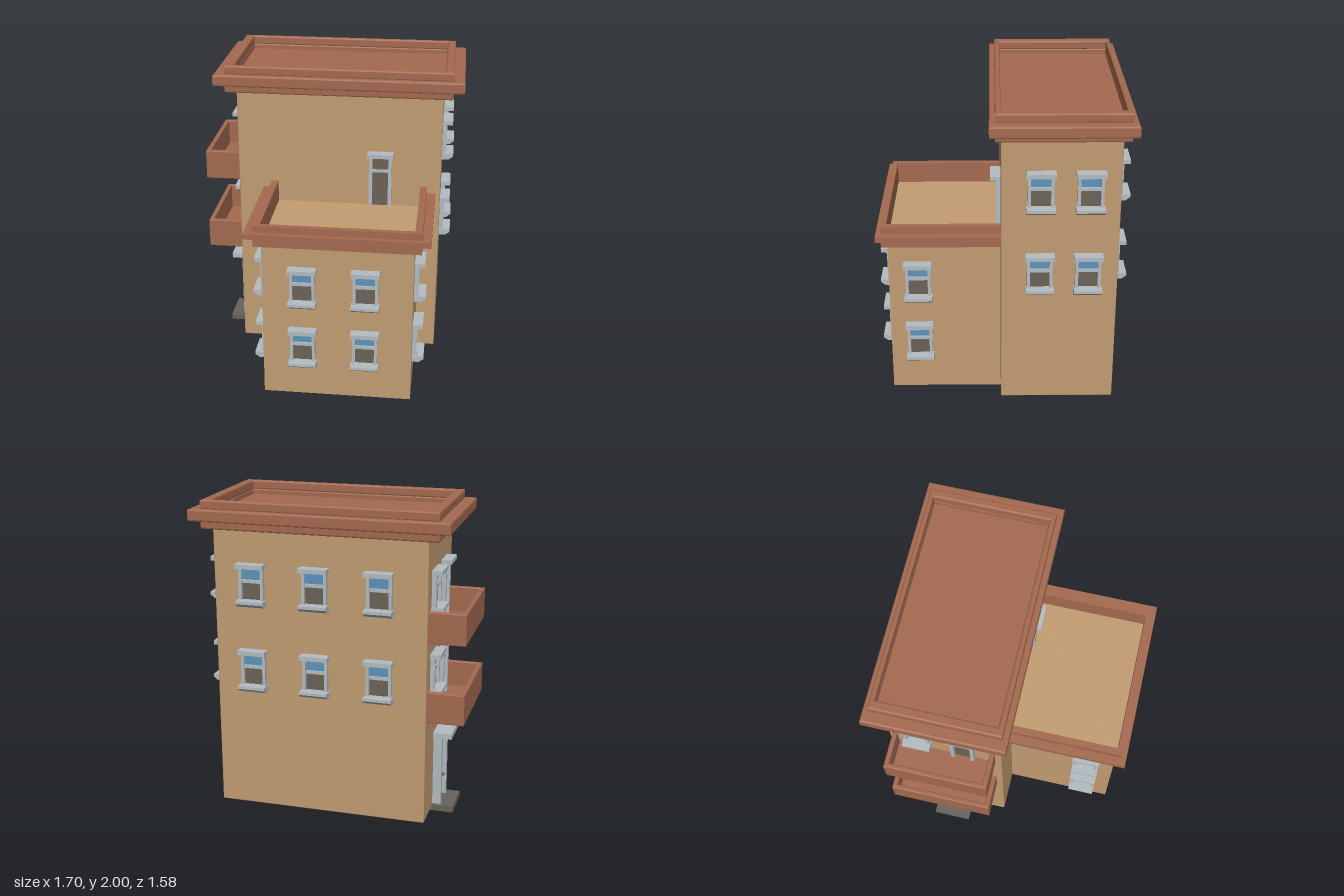
import * as THREE from 'three';
import { RoundedBoxGeometry } from 'three/addons/geometries/RoundedBoxGeometry.js';

const mat = (name, color) => {
  const m = new THREE.MeshStandardMaterial({ color });
  m.name = name;
  return m;
};

export function createModel() {
  const model = new THREE.Group();
  model.name = 'apartmentBuilding';

  const tan = mat('tanWall', 0xc39d72);
  const red = mat('redBrick', 0xa56a50);
  const grey = mat('greyTrim', 0xb4bdc2);
  const blue = mat('blueGlass', 0x5c94bd);
  const taupe = mat('taupePane', 0x6c6358);
  const stone = mat('darkStone', 0x67625b);
  const doorRed = mat('doorWood', 0x8f5138);

  const add = (parent, name, geometry, material) => {
    const mesh = new THREE.Mesh(geometry, material);
    mesh.name = name;
    parent.add(mesh);
    return mesh;
  };

  // Box given by its minimum and maximum on each axis
  const box = (parent, name, material, [x0, x1], [y0, y1], [z0, z1], radius = 0) => {
    const s = [x1 - x0, y1 - y0, z1 - z0];
    const g = radius ? new RoundedBoxGeometry(...s, 2, radius) : new THREE.BoxGeometry(...s);
    g.translate((x0 + x1) / 2, (y0 + y1) / 2, (z0 + z1) / 2);
    return add(parent, name, g, material);
  };

  // Upright prism from a plan outline of [x, z] corners, with an optional hole
  const prism = (parent, name, material, y0, y1, outline, hole, bevel = 0) => {
    const pts = (list) => list.map(([x, z]) => new THREE.Vector2(x, -z));
    const shape = new THREE.Shape(pts(outline));
    if (hole) shape.holes.push(new THREE.Path(pts(hole)));
    const g = new THREE.ExtrudeGeometry(shape, {
      depth: y1 - y0 - 2 * bevel, bevelEnabled: bevel > 0, bevelSize: bevel,
      bevelThickness: bevel, bevelOffset: -bevel, bevelSegments: 2,
    });
    g.rotateX(-Math.PI / 2).translate(0, y0 + bevel, 0);
    return add(parent, name, g, material);
  };
  const rect = (x0, x1, z0, z1) => [[x0, z1], [x1, z1], [x1, z0], [x0, z0]];

  // Main tower with its stepped cornice and sunken roof
  box(model, 'tower', tan, [-0.62, 0.72], [0.02, 1.86], [-0.71, 0.01], 0.008);
  box(model, 'towerRoof', red, [-0.66, 0.75], [1.86, 1.91], [-0.74, 0.03]);
  for (const [y0, y1, out] of [[1.82, 1.875, 0.07], [1.87, 1.945, 0.14], [1.94, 2, 0.07]]) {
    const d = out / 2;
    prism(model, 'towerCornice', red, y0, y1,
      rect(-0.62 - out, 0.71 + out, -0.715 - d, 0.01 + d),
      rect(-0.63, 0.725, -0.72, 0.01), 0.01);
  }

  // Front annex with a parapet open towards the tower
  box(model, 'annex', tan, [-0.355, 0.59], [0.02, 1.07], [-0.05, 0.715]);
  for (const [y0, y1, out, front] of [[1.08, 1.13, 0.045, 0.75], [1.13, 1.165, 0.1, 0.78], [1.165, 1.21, 0.045, 0.75]]) {
    prism(model, 'annexParapet', red, y0 === 1.08 ? 1.07 : y0, y1, [
      [-0.355 - out, 0], [-0.355 - out, front], [0.59 + out, front], [0.59 + out, 0],
      [0.59, 0], [0.59, 0.715], [-0.355, 0.715], [-0.355, 0],
    ]);
  }

  // Window sill with a sloping underside; its base is at y = 0
  const sill = (parent, width) => {
    const s = new THREE.Shape([[0, 0], [0.045, 0], [0.075, 0.022], [0.075, 0.04], [0, 0.04]]
      .map((p) => new THREE.Vector2(...p)));
    const g = new THREE.ExtrudeGeometry(s, { depth: width, bevelEnabled: false });
    g.rotateY(-Math.PI / 2).translate(width / 2, 0, 0);
    return add(parent, 'sill', g, grey);
  };

  // Trim shared by windows and doors: side jambs and lintel
  const trim = (parent, inner, outer, y0, y1) => {
    for (const s of [-1, 1]) {
      const xs = s < 0 ? [-outer, -inner] : [inner, outer];
      box(parent, 'jamb', grey, xs, [y0, y1 - 0.025], [0, 0.028]);
    }
    box(parent, 'lintel', grey, [-outer - 0.01, outer + 0.01], [y1 - 0.027, y1], [0, 0.065]);
  };

  // Sash window, local wall plane at z = 0
  const makeWindow = () => {
    const g = new THREE.Group();
    g.name = 'window';
    sill(g, 0.175);
    trim(g, 0.06, 0.079, 0.04, 0.268);
    box(g, 'upperPane', blue, [-0.06, 0.06], [0.155, 0.241], [0, 0.006]);
    box(g, 'lowerPane', taupe, [-0.06, 0.06], [0.04, 0.155], [0, 0.006]);
    box(g, 'middleRail', grey, [-0.06, 0.06], [0.145, 0.165], [0, 0.018]);
    return g;
  };

  // Glazed terrace door
  const makeDoor = () => {
    const g = new THREE.Group();
    g.name = 'terraceDoor';
    trim(g, 0.052, 0.075, 0, 0.4);
    box(g, 'doorPane', taupe, [-0.052, 0.052], [0, 0.375], [0, 0.006]);
    box(g, 'doorRail', grey, [-0.052, 0.052], [0.26, 0.278], [0, 0.016]);
    return g;
  };

  // Place an opening on a wall; u runs along x or z
  const walls = {
    towerRight: (u) => [0.72, u, Math.PI / 2],
    towerLeft: (u) => [-0.62, u, -Math.PI / 2],
    towerBack: (u) => [u, -0.71, Math.PI],
    towerFront: (u) => [u, 0.01, 0],
    annexFront: (u) => [u, 0.715, 0],
    annexRight: (u) => [0.59, u, Math.PI / 2],
    annexLeft: (u) => [-0.355, u, -Math.PI / 2],
  };
  const place = (item, wall, u, y) => {
    const [x, z, turn] = walls[wall](u);
    item.position.set(x, y, z);
    item.rotation.y = turn;
    model.add(item);
  };

  const windowRows = [
    ['towerRight', [-0.228, -0.525], [1.352, 0.803]],
    ['towerBack', [-0.33, 0.073, 0.475], [1.352, 0.803]],
    ['towerLeft', [-0.52], [1.352, 0.83]],
    ['annexFront', [-0.1, 0.295], [0.662, 0.237]],
    ['annexRight', [0.53], [0.678, 0.243]],
    ['annexLeft', [0.53], [0.662, 0.207]],
  ];
  for (const [wall, us, ys] of windowRows)
    for (const u of us) for (const y of ys) place(makeWindow(), wall, u, y);

  place(makeDoor(), 'towerFront', 0.325, 1.045);
  place(makeDoor(), 'towerLeft', -0.235, 1.22);
  place(makeDoor(), 'towerLeft', -0.235, 0.695);

  // Balconies on the left wall
  for (const y of [0.685, 1.19]) {
    box(model, 'balconyFloor', red, [-0.835, -0.62], [y + 0.002, y + 0.03], [-0.67, -0.045]);
    prism(model, 'balconyWall', red, y, y + 0.197, [
      [-0.61, -0.03], [-0.61, -0.06], [-0.82, -0.06], [-0.82, -0.655],
      [-0.61, -0.655], [-0.61, -0.685], [-0.85, -0.685], [-0.85, -0.03],
    ], null, 0.006);
  }

  // Ground entrance
  const entrance = new THREE.Group();
  entrance.name = 'entrance';
  for (const s of [-1, 1])
    box(entrance, 'entranceJamb', grey, s < 0 ? [-0.1, -0.065] : [0.065, 0.1], [0.035, 0.5], [0, 0.055]);
  box(entrance, 'entranceLintel', grey, [-0.12, 0.12], [0.5, 0.535], [0, 0.12]);
  box(entrance, 'entranceTransom', grey, [-0.065, 0.065], [0.455, 0.5], [0, 0.03]);
  box(entrance, 'entranceDoor', doorRed, [-0.065, 0.065], [0.035, 0.455], [0, 0.015]);
  box(entrance, 'entranceStep', stone, [-0.125, 0.125], [0, 0.037], [-0.03, 0.14]);
  add(entrance, 'doorKnob', new THREE.SphereGeometry(0.012, 12, 8), stone).position.set(0.042, 0.185, 0.04);
  box(entrance, 'knobStem', stone, [0.037, 0.047], [0.18, 0.19], [0.01, 0.04]);
  place(entrance, 'towerLeft', -0.35, 0);

  return model;
}
